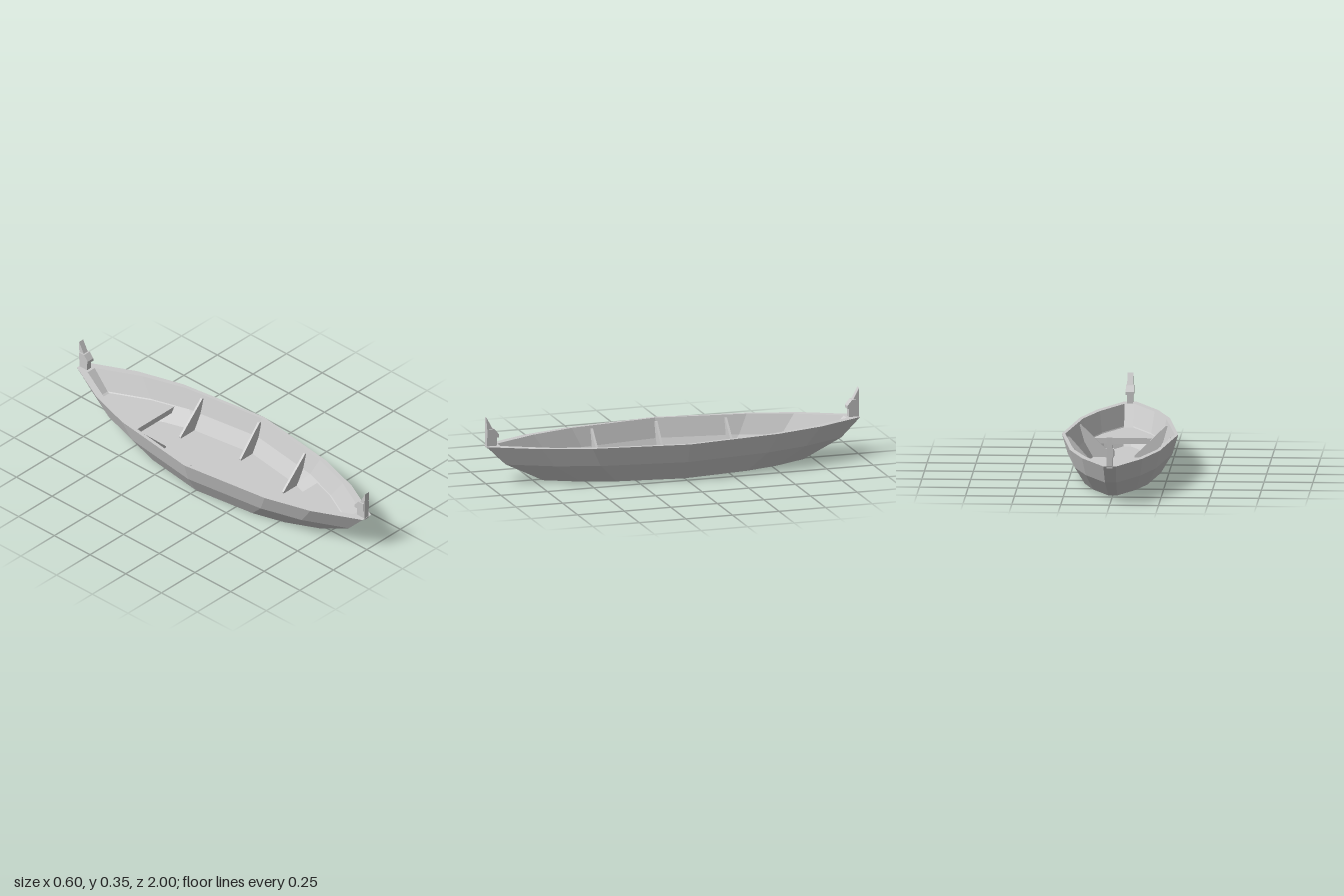
import * as THREE from 'three';

const material = new THREE.MeshStandardMaterial({ color: 0xcccccc, flatShading: true });

// Half outlines seen from above as [x, z], stem to midship.
const OUTER = [[0.032, 1], [0.155, 0.75], [0.23, 0.5], [0.298, 0]];
const INNER = [[0.026, 0.93], [0.14, 0.7], [0.213, 0.47], [0.28, 0]];

// Mirrors a half outline into a closed loop.
function closedOutline(half) {
  const side = [...half, ...half.slice(0, -1).reverse().map(([x, z]) => [x, -z])];
  return [...side, ...side.slice().reverse().map(([x, z]) => [-x, z])];
}

// Lofts the hull shell: up the outside, over the rim and down to the floor.
function hullGeometry() {
  const levels = [
    [OUTER, 0.7, 0], [OUTER, 0.9, 0.1], [OUTER, 1, 0.2],
    [INNER, 1, 0.2], [INNER, 0.9, 0.1], [INNER, 0.74, 0.02],
  ];
  const positions = [];
  const index = [];
  let n = 0;
  for (const [outline, scale, y] of levels) {
    const loop = closedOutline(outline);
    n = loop.length;
    for (const [x, z] of loop) positions.push(x * scale, y, z * scale);
  }
  const last = (levels.length - 1) * n;
  const bottom = positions.length / 3;
  positions.push(0, 0, 0, 0, 0.02, 0);
  for (let i = 0; i < n; i++) {
    const k = (i + 1) % n;
    for (let r = 0; r < last; r += n) {
      index.push(r + i, r + k, r + n + k, r + i, r + n + k, r + n + i);
    }
    index.push(bottom, k, i, bottom + 1, last + i, last + k);
  }
  const indexed = new THREE.BufferGeometry();
  indexed.setAttribute('position', new THREE.Float32BufferAttribute(positions, 3));
  indexed.setIndex(index);
  const geometry = indexed.toNonIndexed();
  geometry.computeVertexNormals();
  return geometry;
}

// Extrudes a flat profile, centred on its depth.
function plate(points, depth) {
  const shape = new THREE.Shape(points.map(([x, y]) => new THREE.Vector2(x, y)));
  const geometry = new THREE.ExtrudeGeometry(shape, { depth, bevelEnabled: false });
  return geometry.translate(0, 0, -depth / 2);
}

function addMesh(parent, name, geometry) {
  const mesh = new THREE.Mesh(geometry, material);
  mesh.name = name;
  parent.add(mesh);
  return mesh;
}

export function createModel() {
  const boat = new THREE.Group();
  boat.name = 'rowingBoat';
  addMesh(boat, 'hull', hullGeometry());

  // Stem post with its collar, as side profiles [z, y].
  const post = plate([[0.945, 0.19], [0.998, 0.19], [1, 0.35], [0.968, 0.29], [0.945, 0.25]], 0.03)
    .rotateY(-Math.PI / 2);
  const collar = plate([[0.935, 0.245], [0.995, 0.245], [0.995, 0.29], [0.96, 0.29], [0.935, 0.26]], 0.042)
    .rotateY(-Math.PI / 2);

  // Small raised deck inside each end, drawn from above.
  const deck = plate([[-0.165, 0.5], [0.165, 0.5], [0.12, 0.64], [0.025, 0.825], [-0.025, 0.825], [-0.12, 0.64]], 0.03)
    .rotateX(Math.PI / 2).translate(0, 0.08, 0);

  for (const end of ['front', 'back']) {
    const group = new THREE.Group();
    group.name = `${end}End`;
    addMesh(group, `${end}Post`, post);
    addMesh(group, `${end}PostCollar`, collar);
    addMesh(group, `${end}Deck`, deck);
    if (end === 'back') group.rotation.y = Math.PI;
    boat.add(group);
  }

  // Triangular rib brackets between floor and side walls.
  const midRib = plate([[0.12, 0.015], [0.212, 0.015], [0.262, 0.1], [0.27, 0.185], [0.258, 0.185], [0.12, 0.028]], 0.012);
  const endRib = plate([[0.055, 0.015], [0.165, 0.015], [0.21, 0.1], [0.228, 0.185], [0.216, 0.185], [0.055, 0.028]], 0.012);
  for (const z of [-0.36, 0, 0.36]) {
    for (const side of ['left', 'right']) {
      const rib = addMesh(boat, `${side}Rib`, z === 0 ? midRib : endRib);
      rib.position.z = z;
      if (side === 'right') rib.rotation.y = Math.PI;
    }
  }
  return boat;
}
